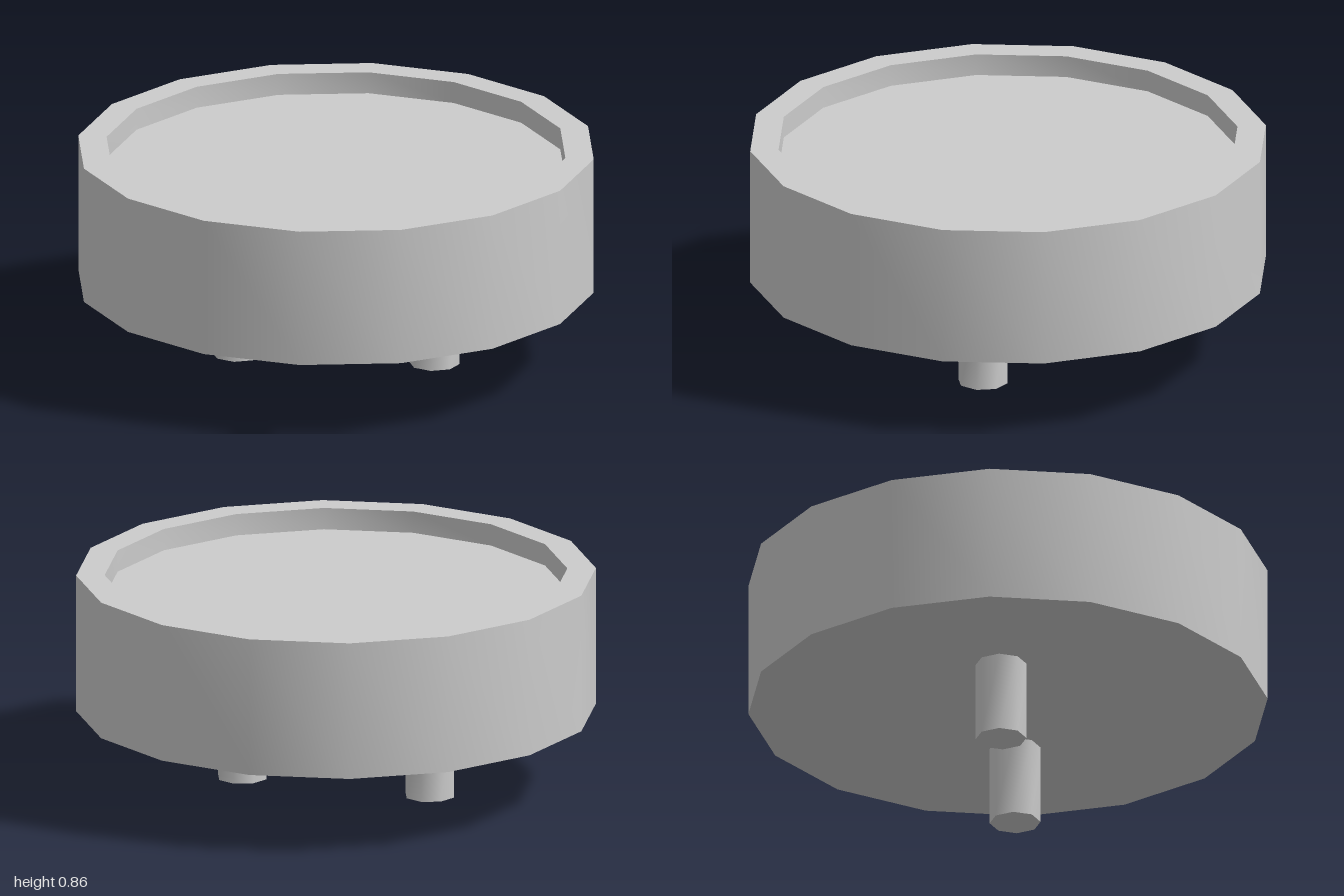
import * as THREE from 'three';
import { toCreasedNormals } from 'three/addons/utils/BufferGeometryUtils.js';

const BASE = 0.315, TOP = 0.857, FLOOR = 0.772;
const OUTER = 1, INNER = 0.89;
const PEG_RADIUS = 0.098, PEG_X = 0.382;

export function createModel() {
  const model = new THREE.Group();
  model.name = 'pegButton';
  const material = new THREE.MeshStandardMaterial({ color: 0xcccccc });

  const addPart = (name, geometry) => {
    const mesh = new THREE.Mesh(toCreasedNormals(geometry, Math.PI / 3), material);
    mesh.name = name;
    model.add(mesh);
    return mesh;
  };

  // Sixteen-sided dish: underside, outer wall, rim, recess wall and floor
  const profile = [
    [0, BASE], [OUTER, BASE], [OUTER, TOP], [INNER, TOP], [INNER, FLOOR], [0, FLOOR],
  ].map(([r, y]) => new THREE.Vector2(r, y));
  addPart('dish', new THREE.LatheGeometry(profile, 16));

  // Pair of eight-sided pegs under the dish
  for (const [name, side] of [['leftPeg', 1], ['rightPeg', -1]]) {
    const peg = addPart(name, new THREE.CylinderGeometry(PEG_RADIUS, PEG_RADIUS, BASE, 8));
    peg.position.set(side * PEG_X, BASE / 2, 0);
  }

  return model;
}
